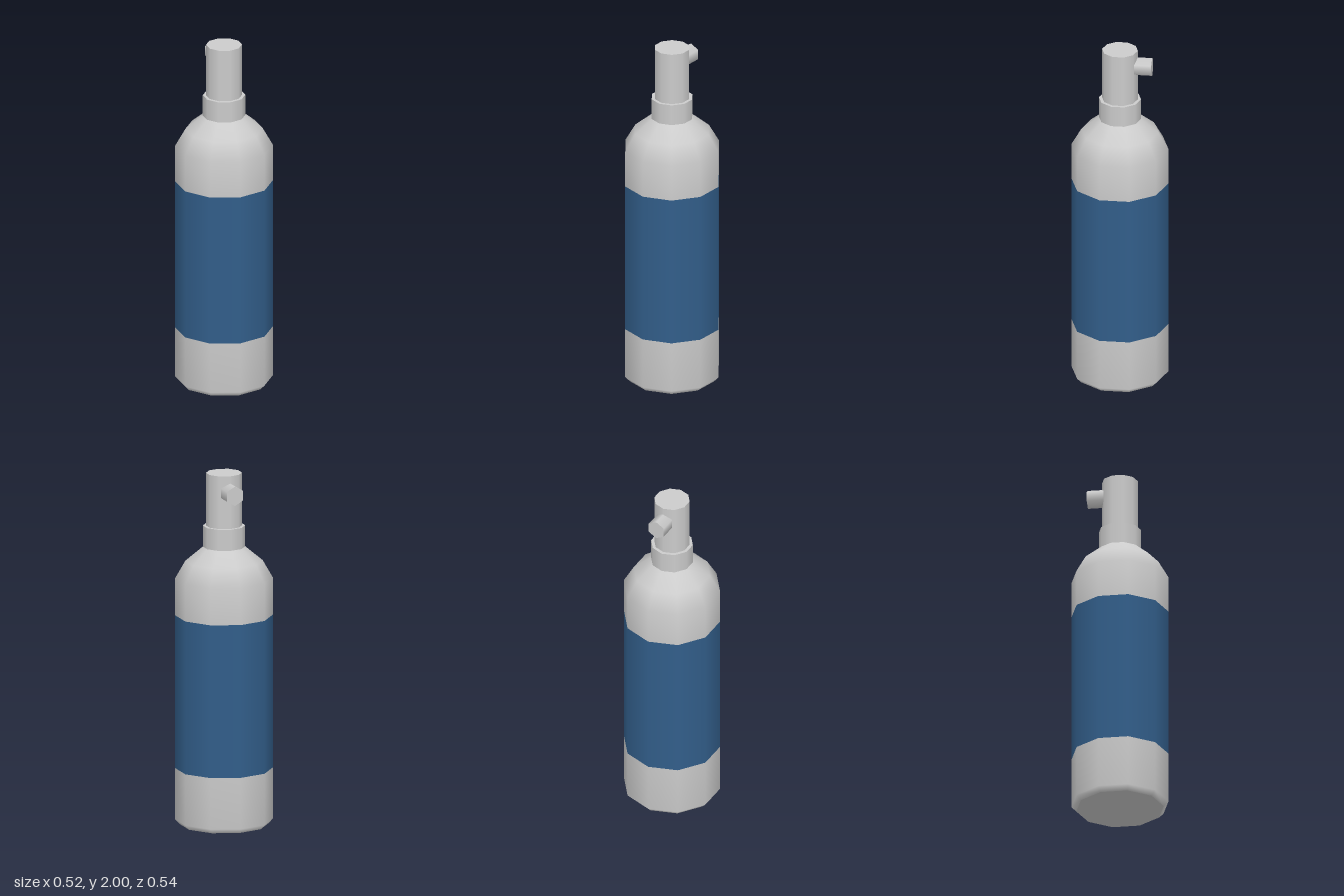
import * as THREE from 'three';

const SIDES = 10;
const RADIUS = 0.272;

export function createModel() {
  const model = new THREE.Group();
  const grey = new THREE.MeshStandardMaterial({ color: 0xcccccc });
  const blue = new THREE.MeshStandardMaterial({ color: 0x325e8a });

  const add = (name, geometry, material = grey) => {
    const mesh = new THREE.Mesh(geometry, material);
    mesh.name = name;
    model.add(mesh);
    return mesh;
  };
  // Ten-sided smooth shell from [radius, height] pairs, bottom to top
  const shell = (profile) =>
    new THREE.LatheGeometry(profile.map(([r, y]) => new THREE.Vector2(r, y)), SIDES);
  // Capped ten-sided cylinder between two heights
  const drum = (r, y0, y1) =>
    new THREE.CylinderGeometry(r, r, y1 - y0, SIDES).translate(0, (y0 + y1) / 2, 0);

  // Bottle body: chamfered foot, coloured band, rounded shoulder
  add('bottleBase', shell([[0.245, 0], [RADIUS, 0.028], [RADIUS, 0.32]]));
  add('labelBand', shell([[RADIUS, 0.32], [RADIUS, 1.19]]), blue);
  add('shoulder', shell([[RADIUS, 1.19], [RADIUS, 1.4], [0.215, 1.5], [0.118, 1.58]]));

  // Flat underside, its corners lined up with the shell
  add('underside', new THREE.CircleGeometry(0.245, SIDES, Math.PI / 2).rotateX(Math.PI / 2));

  // Neck collar and pump stem
  add('collar', drum(0.118, 1.58, 1.7));
  add('stem', drum(0.1, 1.7, 2));

  // Six-sided nozzle pointing to the back
  add('nozzle', new THREE.CylinderGeometry(0.055, 0.055, 0.1, 6).rotateX(-Math.PI / 2))
    .position.set(0, 1.904, -0.13);

  return model;
}
